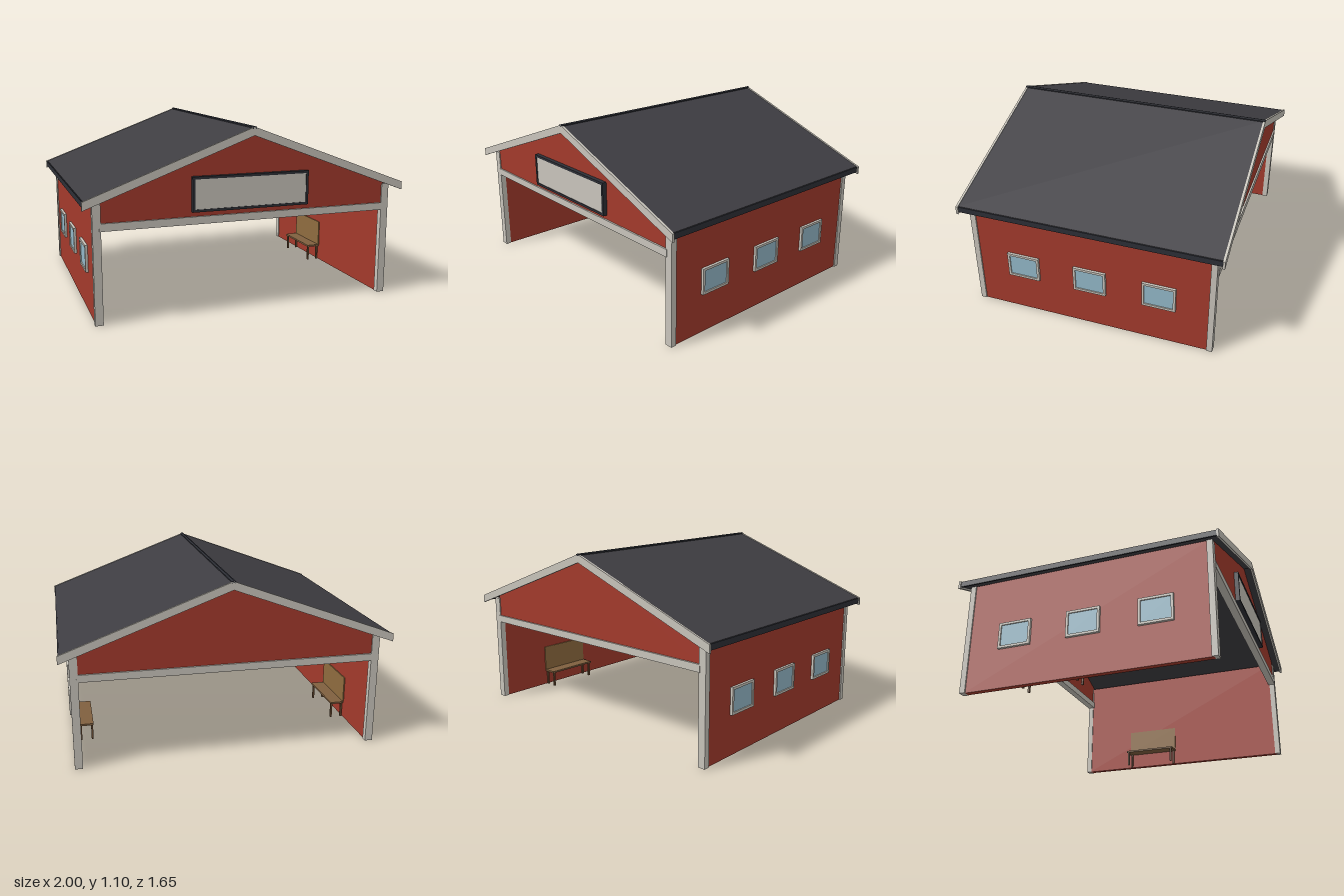
import * as THREE from 'three';

const mat = (name, color) => {
  const m = new THREE.MeshStandardMaterial({ color });
  m.name = name;
  return m;
};

export function createModel() {
  const red = mat('barn red', 0xa33a2c);
  const trim = mat('pale trim', 0xc8c4bb);
  const roofing = mat('charcoal roofing', 0x3e3d42);
  const dark = mat('dark metal', 0x2d2f36);
  const glass = mat('window glass', 0x93b8c8);
  const wood = mat('bench wood', 0x80603f);
  const legWood = mat('leg wood', 0x6a4c32);
  const boardTan = mat('tan board', 0x8f6c3f);

  const building = new THREE.Group();
  building.name = 'openShed';

  const add = (parent, name, geo, material, x = 0, y = 0, z = 0) => {
    const m = new THREE.Mesh(geo, material);
    m.name = name;
    m.position.set(x, y, z);
    parent.add(m);
    return m;
  };
  // Box given by its minimum and maximum on each axis
  const box = (parent, name, material, x0, x1, y0, y1, z0, z1) =>
    add(parent, name, new THREE.BoxGeometry(Math.abs(x1 - x0), y1 - y0, Math.abs(z1 - z0)),
      material, (x0 + x1) / 2, (y0 + y1) / 2, (z0 + z1) / 2);
  const extrude = (pts, depth, hole) => {
    const s = new THREE.Shape(pts.map(p => new THREE.Vector2(...p)));
    if (hole) s.holes.push(new THREE.Path(hole.map(p => new THREE.Vector2(...p))));
    return new THREE.ExtrudeGeometry(s, { depth, bevelEnabled: false }).translate(0, 0, -depth / 2);
  };
  const rect = (w, h) => [[-w / 2, -h / 2], [w / 2, -h / 2], [w / 2, h / 2], [-w / 2, h / 2]];
  const frame = (w, h, border, depth) =>
    extrude(rect(w, h), depth, rect(w - 2 * border, h - 2 * border).reverse());
  // Inverted V section following the roof pitch
  const pitch = 0.373;
  const chevron = (half, top, thick, depth) => extrude([
    [-half, top - pitch * half], [-half, top - thick - pitch * half], [0, top - thick],
    [half, top - thick - pitch * half], [half, top - pitch * half], [0, top]], depth);

  // Roof slab, ridge cap and eave boards
  add(building, 'roof', chevron(0.99, 1.097, 0.035, 1.63), roofing);
  add(building, 'ridgeCap', chevron(0.012, 1.104, 0.012, 1.65), dark);
  for (const s of [-1, 1]) {
    box(building, 'eaveBoard', dark, s * 0.985, s * 0.995, 0.69, 0.725, -0.81, 0.81);
  }

  // Gable ends, both open below the beam
  for (const s of [-1, 1]) {
    add(building, 'rakeBoard', chevron(1, 1.1, 0.05, 0.014), trim, 0, 0, s * 0.818);
    add(building, 'gable', extrude([[-0.9, 0.58], [0.9, 0.58], [0.9, 1.062 - pitch * 0.9],
      [0, 1.062], [-0.9, 1.062 - pitch * 0.9]], 0.025), red, 0, 0, s * 0.755);
    box(building, 'beam', trim, -0.9, 0.9, 0.545, 0.59, s * 0.73, s * 0.778);
  }

  // Sign on the front gable
  const sign = new THREE.Group();
  sign.name = 'blankSign';
  sign.position.set(0, 0.722, 0.78);
  building.add(sign);
  add(sign, 'signFrame', frame(0.73, 0.206, 0.015, 0.03), dark);
  add(sign, 'signPanel', new THREE.BoxGeometry(0.71, 0.186, 0.022), trim);

  // Side walls with posts, windows and a bench inside
  for (const s of [-1, 1]) {
    box(building, 'sideWall', red, s * 0.895, s * 0.93, 0, 0.712, -0.75, 0.75);
    for (const e of [-1, 1]) {
      box(building, 'cornerPost', trim, s * 0.89, s * 0.938, 0, 0.71, e * 0.738, e * 0.774);
    }
    for (const z of [-0.437, 0, 0.437]) {
      const win = new THREE.Group();
      win.name = 'window';
      win.position.set(s * 0.935, 0.33, z);
      win.rotation.y = s * Math.PI / 2;
      building.add(win);
      add(win, 'windowFrame', frame(0.208, 0.164, 0.015, 0.022), trim);
      add(win, 'windowPane', new THREE.BoxGeometry(0.18, 0.136, 0.008), glass);
    }
    const bench = new THREE.Group();
    bench.name = 'workbench';
    building.add(bench);
    box(bench, 'benchTop', wood, s * 0.802, s * 0.892, 0.1, 0.112, -0.4, -0.03);
    for (const x of [0.812, 0.883]) {
      for (const z of [-0.385, -0.045]) {
        box(bench, 'benchLeg', legWood, s * (x - 0.006), s * (x + 0.006), 0, 0.1, z - 0.006, z + 0.006);
      }
    }
    box(bench, 'toolBoard', boardTan, s * 0.888, s * 0.896, 0.112, 0.285, -0.4, -0.03);
  }

  return building;
}
